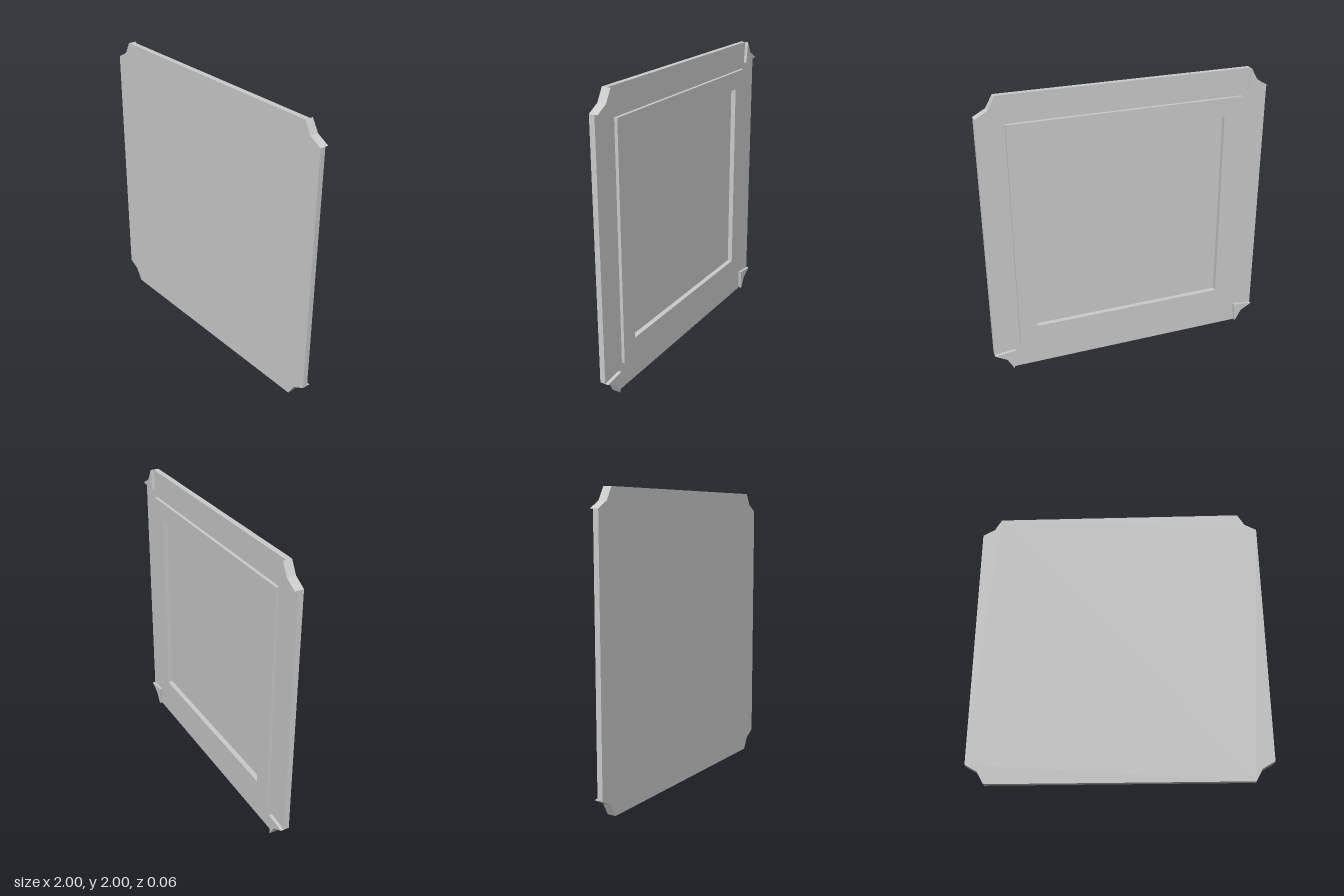
import * as THREE from 'three';

const FRONT = 0.03, FLOOR = 0.005, BACK = -0.008, RIM = -0.03;
const material = new THREE.MeshStandardMaterial({ color: 0xcccccc, flatShading: true });

const toPoints = (list) => list.map(([x, y]) => new THREE.Vector2(x, y));
const square = (h) => toPoints([[-h, -h], [h, -h], [h, h], [-h, h]]);

// Flat plate between two depths, with an optional opening
function plate(name, points, hole, z0, z1) {
  const shape = new THREE.Shape(points);
  if (hole) shape.holes.push(new THREE.Path(hole));
  const geometry = new THREE.ExtrudeGeometry(shape, { depth: z1 - z0, bevelEnabled: false });
  geometry.translate(0, 0, z0);
  const mesh = new THREE.Mesh(geometry, material);
  mesh.name = name;
  return mesh;
}

export function createModel() {
  const group = new THREE.Group();
  group.name = 'panel';

  // Notched corner, turned round the four corners to make the outline
  const notch = toPoints([[1, 0.87], [0.917, 0.917], [0.87, 1]]);
  const origin = new THREE.Vector2();
  const turned = (points, i) => points.map((p) => p.clone().rotateAround(origin, i * Math.PI / 2));
  const outline = [0, 1, 2, 3].flatMap((i) => turned(notch, i));

  // Front panel and the layer behind it around the recess
  const recess = square(0.686);
  group.add(plate('frontPanel', outline, null, FLOOR, FRONT));
  group.add(plate('recessSurround', outline, recess, BACK, FLOOR));

  // Raised square frame on the back
  group.add(plate('backFrame', square(0.813), recess, RIM, BACK));

  // Raised arrow-shaped corner pieces on the back
  const bracket = [...notch, new THREE.Vector2(0.853, 0.853)];
  for (let i = 0; i < 4; i++) {
    group.add(plate('cornerBracket' + (i + 1), turned(bracket, i), null, RIM, BACK));
  }

  // Stand on the ground
  group.children.forEach((mesh) => { mesh.position.y = 1; });
  return group;
}
